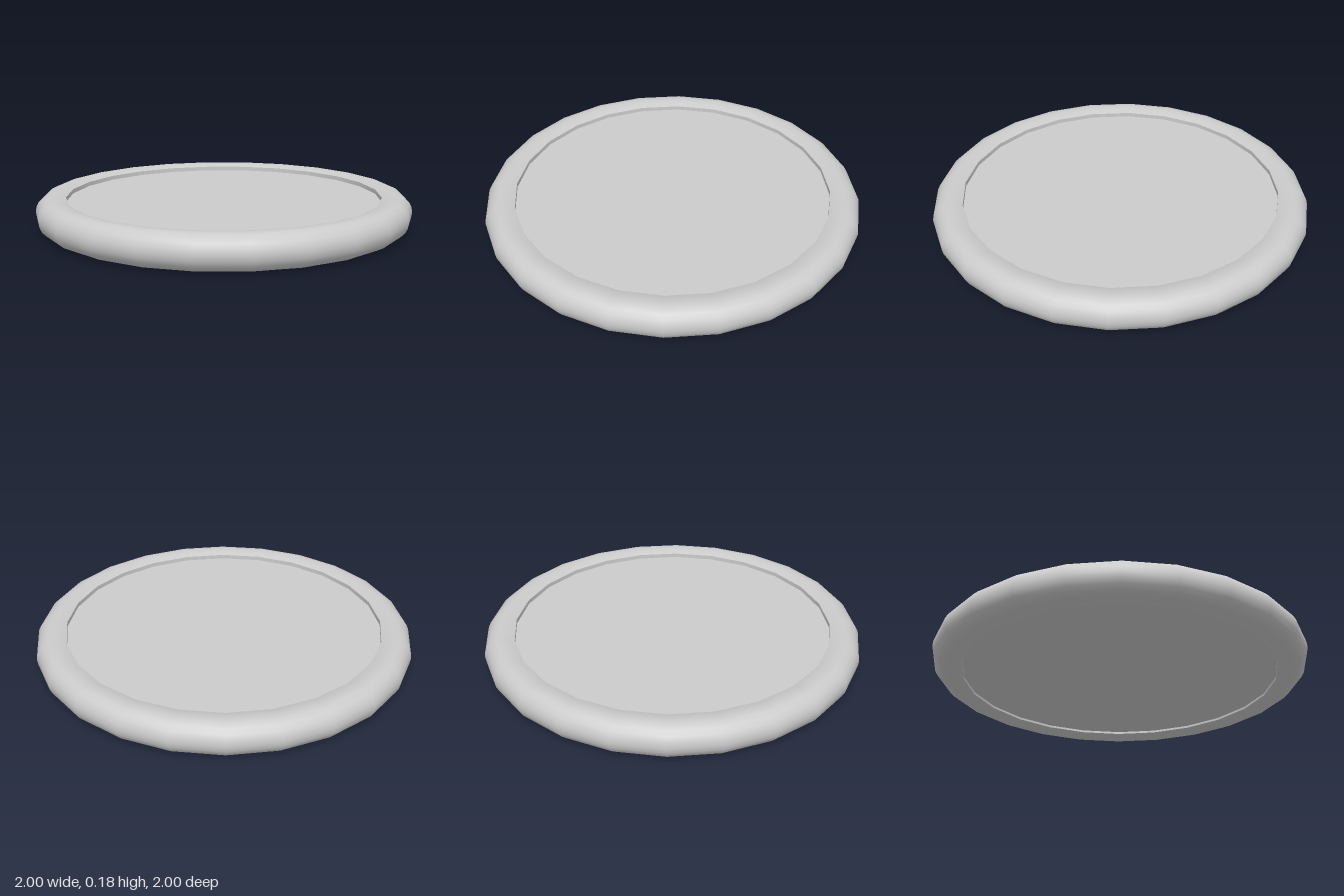
import * as THREE from 'three';

const SIDES = 24;
const INNER = 0.84, LIP_TOP = 0.164, LIP_BOTTOM = 0.018;

export function createModel() {
  const group = new THREE.Group();
  const material = new THREE.MeshStandardMaterial({ color: 0xcccccc });
  const add = (name, geometry, y = 0) => {
    const mesh = new THREE.Mesh(geometry, material);
    mesh.name = name;
    mesh.position.y = y;
    group.add(mesh);
  };

  // Rounded rim: bottom lip, round outer side, top lip
  const profile = [new THREE.Vector2(INNER, LIP_BOTTOM), new THREE.Vector2(0.872, 0.006)];
  for (let i = 0; i <= 10; i++) {
    const a = -Math.PI / 2 + (i / 10) * Math.PI;
    profile.push(new THREE.Vector2(0.91 + 0.09 * Math.cos(a), 0.09 + 0.09 * Math.sin(a)));
  }
  profile.push(new THREE.Vector2(0.872, 0.175), new THREE.Vector2(INNER, LIP_TOP));
  add('rim', new THREE.LatheGeometry(profile, SIDES));

  // Upright wall inside the rim
  const wall = [new THREE.Vector2(INNER, LIP_TOP), new THREE.Vector2(INNER, LIP_BOTTOM)];
  add('innerWall', new THREE.LatheGeometry(wall, SIDES));

  // Flat plate recessed slightly below the lips
  const top = 0.141, bottom = 0.03;
  add('plate', new THREE.CylinderGeometry(INNER, INNER, top - bottom, SIDES), (top + bottom) / 2);

  return group;
}
